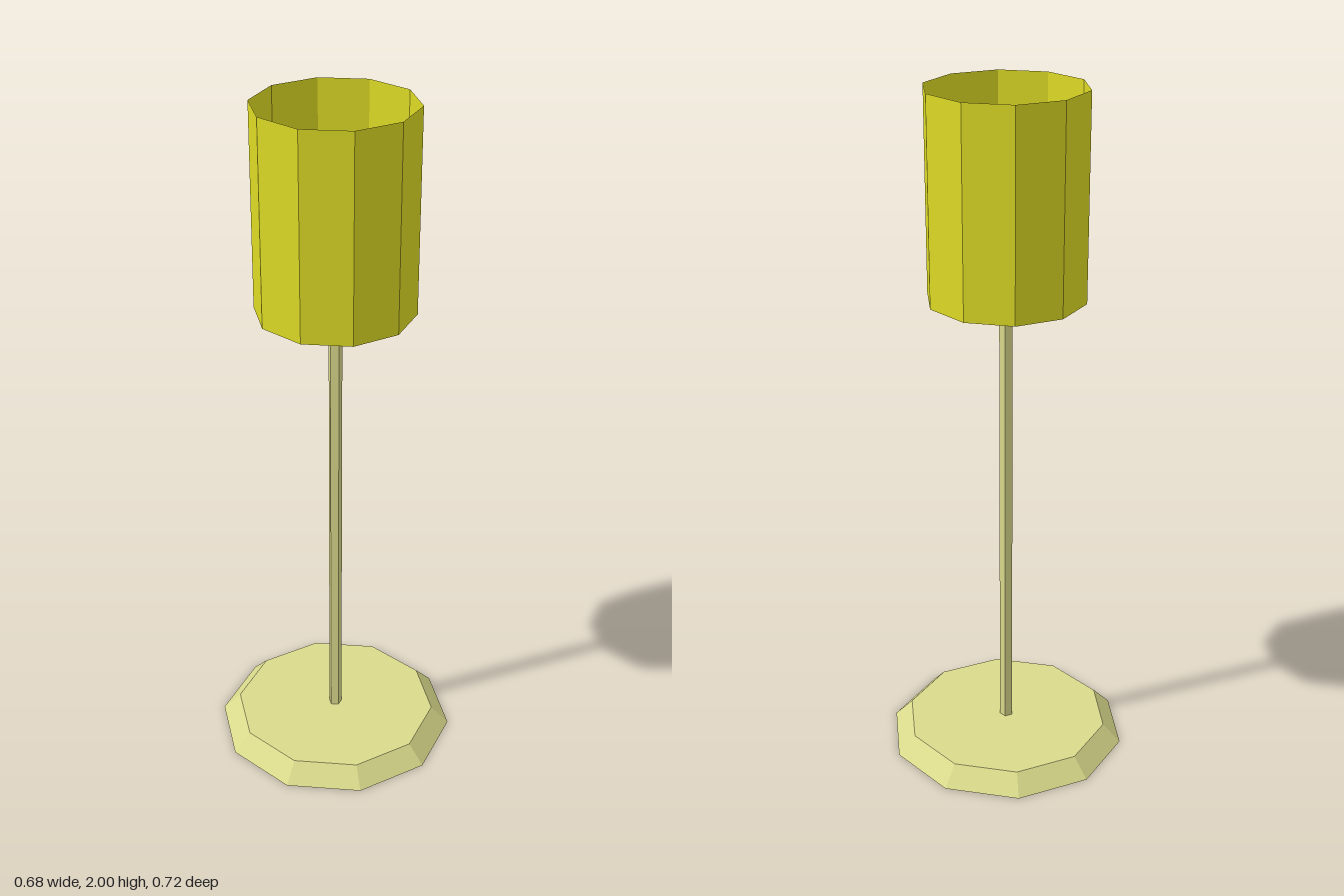
import * as THREE from 'three';

const mat = (name, color, extra = {}) => {
  const m = new THREE.MeshStandardMaterial({ color, flatShading: true, ...extra });
  m.name = name;
  return m;
};

export function createModel() {
  const group = new THREE.Group();
  const cream = mat('cream metal', 0xdada8c);
  const yellow = mat('yellow shade', 0xdedb25, { side: THREE.DoubleSide });
  const green = mat('pale green bulb', 0xb9d880);

  const add = (name, geometry, material, y = 0) => {
    const mesh = new THREE.Mesh(geometry, material);
    mesh.name = name;
    mesh.position.y = y;
    group.add(mesh);
    return mesh;
  };

  // Ten-sided bevelled foot
  add('base', new THREE.CylinderGeometry(0.305, 0.358, 0.055, 10), cream, 0.0275);

  // Five-sided pole, one corner towards -x
  add('pole', new THREE.CylinderGeometry(0.02, 0.02, 1.52, 5, 1, false, -Math.PI / 2), cream, 0.055 + 0.76);

  // Faceted bulb on top of the pole
  const profile = [[0, 1.56], [0.03, 1.56], [0.073, 1.65], [0.062, 1.68], [0.018, 1.75], [0, 1.75]]
    .map(([r, y]) => new THREE.Vector2(r, y));
  add('bulb', new THREE.LatheGeometry(profile, 5, -Math.PI / 2), green);

  // Open ten-sided shade
  add('shade', new THREE.CylinderGeometry(0.225, 0.225, 0.58, 10, 1, true), yellow, 1.71);

  // Five spokes holding the shade
  for (let i = 0; i < 5; i++) {
    const spoke = new THREE.BoxGeometry(0.213, 0.03, 0.03);
    spoke.translate(0.1065, 0, 0);
    add('spoke' + (i + 1), spoke, cream, 1.437).rotation.y = (i * Math.PI * 2) / 5;
  }

  return group;
}
